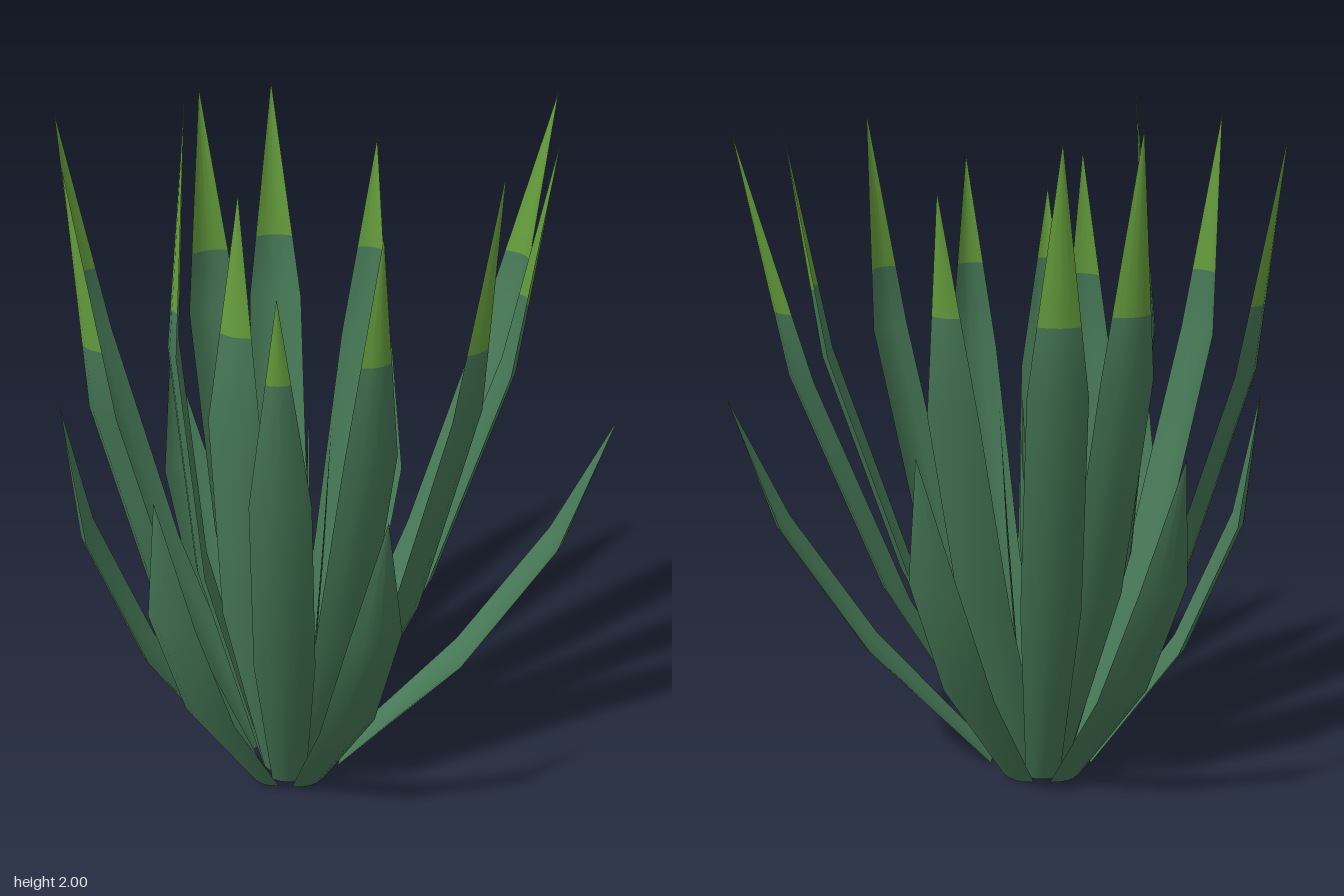
import * as THREE from 'three';

const leafGreen = new THREE.MeshStandardMaterial({ color: 0x467856, side: THREE.DoubleSide });
leafGreen.name = 'leaf green';
const tipGreen = new THREE.MeshStandardMaterial({ color: 0x649c3c, side: THREE.DoubleSide });
tipGreen.name = 'tip yellow green';

const CENTRE = [-0.152, 0.022]; // x, z of the rosette
const TIP_START = 1.45; // height above which a leaf turns yellow green
const COLUMNS = 4;
const WIDTHS = [0.1, 0.165, 0.155, 0];

// Channelled blade that leaves the base steeply and bows upright towards its tip
function makeLeaf(name, baseRadius, tipX, tipZ, height, bow = 0.55, widthScale = 1) {
  const dx = tipX - CENTRE[0], dz = tipZ - CENTRE[1];
  const tipRadius = Math.hypot(dx, dz);
  const ux = dx / tipRadius, uz = dz / tipRadius;
  const reach = tipRadius - baseRadius;
  const radiusAt = s => baseRadius + (reach + bow) * s - bow * s * s;

  const rows = [0, 1, 2, 3].map(i => ({
    y: height * i / 3, r: radiusAt(i / 3), w: WIDTHS[i] * widthScale
  }));
  // extra cross-section where the colour changes
  if (height > TIP_START) {
    const [a, b] = [rows[2], rows[3]];
    const t = (TIP_START - a.y) / (b.y - a.y);
    rows.splice(3, 0, { y: TIP_START, r: a.r + (b.r - a.r) * t, w: a.w + (b.w - a.w) * t });
  }

  const positions = [], index = [];
  for (const { y, r, w } of rows) {
    for (let c = 0; c <= COLUMNS; c++) {
      const u = c / COLUMNS * 2 - 1;
      const side = u * w / 2, rad = r - 0.17 * w * u * u;
      positions.push(CENTRE[0] + ux * rad - uz * side, y, CENTRE[1] + uz * rad + ux * side);
    }
  }
  const stride = COLUMNS + 1;
  for (let i = 0; i < rows.length - 1; i++) {
    for (let c = 0; c < COLUMNS; c++) {
      const a = i * stride + c, b = a + 1, d = a + stride, e = d + 1;
      index.push(a, d, b);
      if (i < rows.length - 2) index.push(b, d, e);
    }
  }
  const geometry = new THREE.BufferGeometry();
  geometry.setAttribute('position', new THREE.Float32BufferAttribute(positions, 3));
  geometry.setIndex(index);
  geometry.computeVertexNormals();

  const tipCount = height > TIP_START ? COLUMNS * 3 : 0;
  geometry.addGroup(0, index.length - tipCount, 0);
  if (tipCount) geometry.addGroup(index.length - tipCount, tipCount, 1);
  const mesh = new THREE.Mesh(geometry, [leafGreen, tipGreen]);
  mesh.name = name;
  return mesh;
}

// Leaf tips of each ring: x, z, height
const RINGS = [
  { name: 'outerLeaf', radius: 0.15, tips: [
    [0.64, 0.47, 1.12], [-0.21, 0.66, 1.1], [-0.67, 0.3, 1.11],
    [-0.69, -0.28, 1.16], [-0.19, -0.66, 1.11], [0.41, -0.34, 1.11]] },
  { name: 'middleLeaf', radius: 0.12, tips: [
    [0.755, -0.03, 1.91], [0.135, 0.6, 1.91], [-0.44, 0.53, 1.67],
    [-0.76, 0.06, 1.91], [-0.555, -0.535, 1.9], [0.135, -0.59, 1.9]] },
  { name: 'innerLeaf', radius: 0.085, tips: [
    [0.49, 0.34, 1.89], [-0.165, 0.545, 1.78], [-0.345, 0.15, 1.81],
    [-0.37, -0.09, 2.0], [-0.125, -0.53, 1.92], [0.33, -0.31, 1.77]] }
];

export function createModel() {
  const plant = new THREE.Group();
  plant.name = 'spikyPlant';
  for (const { name, radius, tips } of RINGS) {
    const ring = new THREE.Group();
    ring.name = name + 'Ring';
    for (const [x, z, h] of tips) ring.add(makeLeaf(name, radius, x, z, h));
    plant.add(ring);
  }
  // Slender young shoots at the heart
  const heart = new THREE.Group();
  heart.name = 'heartShoots';
  for (let i = 0; i < 6; i++) {
    const a = Math.PI / 6 + i * Math.PI / 3;
    const x = CENTRE[0] + 0.125 * Math.cos(a), z = CENTRE[1] + 0.125 * Math.sin(a);
    heart.add(makeLeaf('heartShoot', 0.045, x, z, 1.1, 0.03, 0.16));
  }
  plant.add(heart);
  return plant;
}
